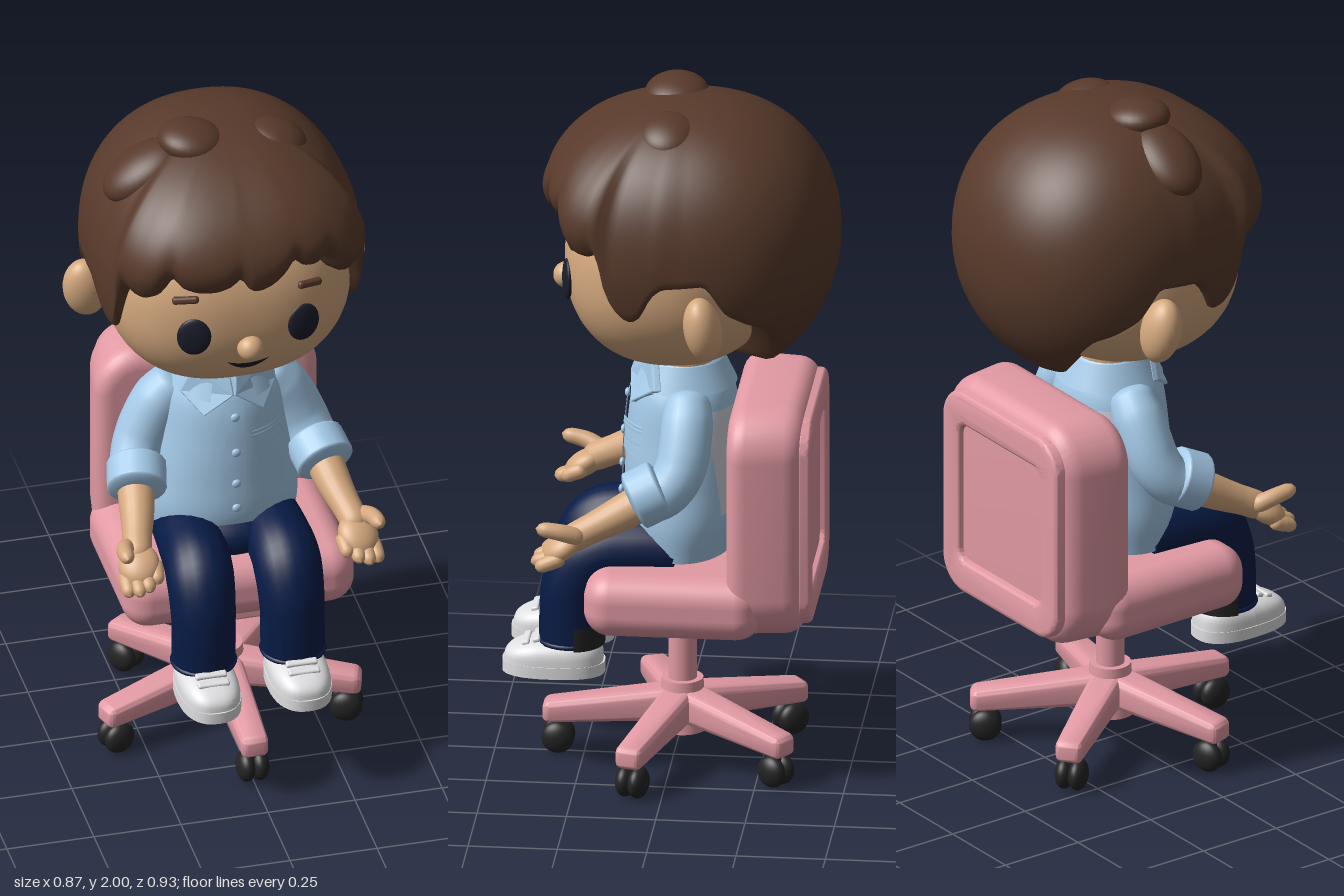
import * as THREE from 'three';
import { toCreasedNormals } from 'three/addons/utils/BufferGeometryUtils.js';
import { RoundedBoxGeometry } from 'three/addons/geometries/RoundedBoxGeometry.js';

const mat = (name, color, side = THREE.FrontSide) => {
  const m = new THREE.MeshStandardMaterial({ color, side });
  m.name = name;
  return m;
};
const V = (x, y, z) => new THREE.Vector3(x, y, z);
const spow = (v, p) => Math.sign(v) * Math.pow(Math.abs(v), p);
const clamp = v => Math.min(1, Math.max(0, v));

// Smooth surface: u wraps around, v runs from top to bottom
function surf(nu, nv, fn) {
  const pos = [], idx = [];
  for (let j = 0; j <= nv; j++)
    for (let i = 0; i < nu; i++) pos.push(...fn(i / nu, j / nv));
  for (let j = 0; j < nv; j++)
    for (let i = 0; i < nu; i++) {
      const a = j * nu + i, b = j * nu + (i + 1) % nu;
      idx.push(a, a + nu, b, b, a + nu, b + nu);
    }
  const g = new THREE.BufferGeometry();
  g.setAttribute('position', new THREE.Float32BufferAttribute(pos, 3));
  g.setIndex(idx);
  g.computeVertexNormals();
  return g;
}

// Limb along a curve with varying radius; cap is the rounded share of each end
function limb(points, radii, cap = 0.15, n = 32) {
  const curve = new THREE.CatmullRomCurve3(points.map(p => V(...p)));
  const { normals, binormals } = curve.computeFrenetFrames(n);
  return surf(20, n, (u, v) => {
    const k = v * (radii.length - 1), i = Math.min(Math.floor(k), radii.length - 2);
    let r = radii[i] + (radii[i + 1] - radii[i]) * (k - i);
    const e = Math.min(v, 1 - v) / cap;
    if (e < 1) r *= Math.sqrt(1 - (1 - e) ** 2);
    const a = u * Math.PI * 2, j = Math.round(v * n);
    return curve.getPointAt(v).addScaledVector(normals[j], r * Math.cos(a))
      .addScaledVector(binormals[j], -r * Math.sin(a)).toArray();
  });
}

// Move the vertices of a geometry by a rule
function bend(g, rule) {
  const p = g.attributes.position;
  for (let i = 0; i < p.count; i++) p.setXYZ(i, ...rule(p.getX(i), p.getY(i), p.getZ(i)));
  g.computeVertexNormals();
  return g;
}

function roundRect(w, h, r, cls = THREE.Shape) {
  const s = new cls(), x = w / 2, y = h / 2;
  s.absarc(x - r, y - r, r, 0, Math.PI / 2);
  s.absarc(r - x, y - r, r, Math.PI / 2, Math.PI);
  s.absarc(r - x, r - y, r, Math.PI, Math.PI * 1.5);
  s.absarc(x - r, r - y, r, Math.PI * 1.5, Math.PI * 2);
  return s;
}

// Head and torso surface rules
const headF = y => Math.pow(Math.max(0, 1 - Math.abs((y - 1.51) / 0.31) ** 2.2), 1 / 2.2);
const headZ = (x, y) => -0.01 + 0.31 * headF(y) * Math.pow(Math.max(0, 1 - Math.abs(x / 0.35 / headF(y)) ** 2.5), 0.4);
const torsoCurve = new THREE.CatmullRomCurve3([[1.2, 0.08, 0.08], [1.16, 0.125, 0.12], [1.1, 0.16, 0.145],
  [0.98, 0.18, 0.16], [0.86, 0.2, 0.165], [0.75, 0.215, 0.165], [0.65, 0.205, 0.14]].map(p => V(...p)));
const torsoRows = torsoCurve.getPoints(60);
const torsoZ = (x, y) => {
  const r = torsoRows.find(p => p.x <= y) || torsoRows[60];
  return -0.03 + r.z * Math.sqrt(Math.max(0, 1 - (x / r.y) ** 2));
};

// Hairline height by angle in degrees (0 is the front)
const sideLine = [[56, 1.62], [59, 1.54], [63, 1.45], [67, 1.42], [72, 1.43], [77, 1.5], [82, 1.535], [100, 1.55],
  [108, 1.46], [118, 1.42], [128, 1.395], [138, 1.32], [148, 1.24], [180, 1.23]];
const hairline = [...sideLine.map(([a, y]) => [-a, y]).reverse(), [-52, 1.6], [-46, 1.595], [-40, 1.62], [-34, 1.69],
  [-31, 1.655], [-24, 1.64], [-16, 1.64], [-9, 1.655], [-5, 1.685], [-2, 1.635], [3, 1.63], [9, 1.645], [15, 1.675],
  [20, 1.715], [23, 1.68], [30, 1.675], [35, 1.7], [38, 1.65], [43, 1.605], [50, 1.595], ...sideLine];
function hairEdge(deg) {
  const d = Math.max(-180, Math.min(180, deg));
  const i = Math.max(1, hairline.findIndex(p => p[0] >= d)), [a, b] = [hairline[i - 1], hairline[i]];
  return a[1] + (b[1] - a[1]) * (d - a[0]) / (b[0] - a[0]);
}
function hairPoint(u, v) {
  const a = (u * 2 - 1) * Math.PI, deg = (u * 2 - 1) * 180;
  const edge = (hairEdge(deg - 1.5) + hairEdge(deg) + hairEdge(deg + 1.5)) / 3;
  const d = (edge - 1.57) / (edge > 1.57 ? 0.4 : 0.42);
  const phi = Math.min(1, v / 0.93) * Math.acos(d > 0 ? d ** 1.1 : d);
  const c = Math.cos(phi), p = c > 0 ? 1 / 1.1 : 1;
  const y = 1.57 + (c > 0 ? 0.4 : 0.42) * spow(c, p);
  const front = clamp(Math.cos(a) * 2), n = 2.25 + 0.4 * front;
  let f = Math.pow(Math.max(0, Math.sin(phi)), p) / Math.pow(Math.abs(Math.sin(a)) ** n + Math.abs(Math.cos(a)) ** n, 1 / n);
  // fringe puffs out, then curls in; the last rows close the underside
  const fringe = front * clamp((edge - 1.5) / 0.1);
  f *= 1 + 0.09 * fringe * Math.sin(Math.PI * v ** 1.6);
  f *= 1 - 0.16 * fringe * clamp((v - 0.75) / 0.25) ** 2.5;
  f *= 1 - (0.2 + 0.3 * clamp((1.45 - edge) / 0.2)) * clamp((v - 0.93) / 0.07);
  return [0.385 * f * Math.sin(a), y, -0.055 + 0.412 * f * Math.cos(a)];
}

export function createModel() {
  const root = new THREE.Group();
  const skin = mat('skin', 0xd5a97f), hair = mat('brown hair', 0x583a2b), shirt = mat('light blue shirt', 0xa4c9e7, THREE.DoubleSide);
  const navy = mat('navy trousers', 0x071b45), white = mat('white shoes', 0xe0e0e2), pink = mat('pink chair', 0xe29aa4);
  const black = mat('black casters', 0x232325), eyeMat = mat('dark eyes', 0x1b1d2b), pale = mat('pale shirt back', 0xd0d3dc);
  const add = (name, g, m, pos = [0, 0, 0], rot = [0, 0, 0], scale = [1, 1, 1], parent = root) => {
    const o = new THREE.Mesh(g, m);
    o.name = name;
    o.position.set(...pos); o.rotation.set(...rot); o.scale.set(...scale);
    parent.add(o);
  };
  const ball = new THREE.SphereGeometry(1, 28, 20);

  // Head, face and hair
  add('head', surf(64, 40, (u, v) => {
    const a = u * Math.PI * 2, s = Math.sin(a), c = Math.cos(a), n = c > 0 ? 2.5 : 2;
    const y = 1.51 + 0.31 * spow(Math.cos(v * Math.PI), 1 / 1.1);
    const f = Math.pow(Math.max(0, Math.sin(v * Math.PI)), 1 / 1.1) / Math.pow(Math.abs(s) ** n + Math.abs(c) ** n, 1 / n);
    return [0.35 * f * s, y, -0.01 + 0.31 * f * c];
  }), skin);
  add('neck', new THREE.CylinderGeometry(0.085, 0.09, 0.16, 24), skin, [0, 1.17, -0.03]);
  add('nose', ball, skin, [0, 1.425, 0.3], [0, 0, 0], [0.037, 0.037, 0.037]);
  const smile = new THREE.Shape();
  smile.moveTo(-0.06, 1.372);
  smile.quadraticCurveTo(0, 1.345, 0.06, 1.372);
  smile.quadraticCurveTo(0, 1.298, -0.06, 1.372);
  add('mouth', bend(new THREE.ShapeGeometry(smile, 16), (x, y) => [x, y, headZ(x, y) + 0.005]), eyeMat);
  for (const s of [1, -1]) {
    add('eye', ball, eyeMat, [s * 0.157, 1.475, headZ(0.157, 1.475)], [0, s * 0.22, 0], [0.048, 0.059, 0.014]);
    add('eyebrow', new RoundedBoxGeometry(0.075, 0.022, 0.022, 3, 0.009), hair,
      [s * 0.178, 1.592, headZ(0.178, 1.592)], [-0.2, s * 0.3, -s * 0.03]);
    add('ear', ball, skin, [s * 0.368, 1.42, -0.118], [0.15, 0, -s * 0.15], [0.064, 0.096, 0.053]);
  }
  add('hair', surf(180, 48, hairPoint), hair);
  add('tuftRight', ball, hair, [-0.235, 1.865, 0], [0, 0, 0.55], [0.125, 0.06, 0.09]);
  add('tuftMiddle', ball, hair, [-0.095, 1.945, 0], [0, 0, -0.12], [0.095, 0.05, 0.09]);
  add('tuftLeft', ball, hair, [0.15, 1.91, 0], [0, 0, -0.33], [0.09, 0.05, 0.085]);

  // Shirt
  add('shirtBody', surf(48, 40, (u, v) => {
    const p = torsoCurve.getPoint(v), a = u * Math.PI * 2;
    return [p.y * Math.sin(a), p.x, -0.03 + p.z * Math.cos(a)];
  }), shirt);
  add('shirtBackPatch', bend(new THREE.PlaneGeometry(0.31, 0.3, 16, 10),
    (x, y) => [-x, y + 0.93, -0.064 - torsoZ(x, y + 0.93)]), pale);
  const onShirt = (name, x, y, w, h, off) => add(name,
    bend(new THREE.PlaneGeometry(w, h, 6, 16), (px, py) => [x + px, y + py, torsoZ(x + px, y + py) + off]), shirt);
  onShirt('placket', 0, 0.95, 0.055, 0.36, 0.008);
  onShirt('pocket', 0.095, 0.985, 0.09, 0.09, 0.008);
  onShirt('pocketFlap', 0.095, 1.02, 0.094, 0.024, 0.013);
  for (const y of [1.08, 0.97, 0.87, 0.79])
    add('button', ball, shirt, [0, y, torsoZ(0, y) + 0.009], [0, 0, 0], [0.013, 0.013, 0.008]);
  add('collarStand', new THREE.CylinderGeometry(0.115, 0.15, 0.075, 40, 1, true, 0.45, Math.PI * 2 - 0.9), shirt, [0, 1.165, -0.028]);
  const flap = new THREE.Shape([[0.01, 0.06], [0.1, 0.075], [0.135, 0.0], [0.085, -0.05], [0.005, 0.01]].map(p => new THREE.Vector2(...p)));
  for (const s of [1, -1]) {
    const g = bend(new THREE.ExtrudeGeometry(flap, { depth: 0.014, bevelEnabled: true, bevelSize: 0.004, bevelThickness: 0.004, bevelSegments: 2 }),
      (x, y, z) => [s * x, y, z - x * x * 4.2 - y * 0.35]);
    add('collarFlap', g, shirt, [0, 1.14, 0.105]);
  }

  // Arms and hands, palms up
  for (const s of [1, -1]) {
    const m = pts => pts.map(([x, y, z]) => [s * x, y, z]);
    add('sleeve', limb(m([[0.11, 1.13, -0.05], [0.18, 1.05, -0.055], [0.235, 0.94, -0.04], [0.258, 0.885, 0.0], [0.272, 0.86, 0.07]]),
      [0.06, 0.073, 0.073, 0.07, 0.07], 0.1), shirt);
    add('cuff', limb(m([[0.252, 0.9, 0.0], [0.274, 0.855, 0.095]]), [0.084, 0.084], 0.16), shirt);
    add('forearm', limb(m([[0.265, 0.87, 0.04], [0.285, 0.815, 0.14], [0.31, 0.765, 0.24], [0.318, 0.74, 0.28]]), [0.055, 0.05, 0.042, 0.04]), skin);
    add('palm', ball, skin, [s * 0.315, 0.738, 0.28], [0.6, s * 0.15, s * -0.2], [0.058, 0.036, 0.064]);
    for (let i = 0; i < 4; i++) {
      const x = 0.268 + i * 0.028, y = 0.738 - i * 0.007, l = [0.34, 0.362, 0.367, 0.352][i];
      add('finger', limb(m([[x, y, 0.27], [x + 0.004, y - 0.016, 0.31], [x + 0.006, y - 0.034, l]]), [0.022, 0.022, 0.018], 0.25, 16), skin);
    }
    add('thumb', limb(m([[0.33, 0.765, 0.22], [0.354, 0.79, 0.275], [0.363, 0.805, 0.35]]), [0.026, 0.024, 0.02], 0.22, 16), skin);
  }

  // Trousers and shoes
  add('hips', ball, navy, [0, 0.67, 0.03], [0, 0, 0], [0.19, 0.085, 0.135]);
  for (const s of [1, -1]) {
    add('trouserLeg', limb([[s * 0.115, 0.665, -0.03], [s * 0.12, 0.665, 0.1], [s * 0.125, 0.645, 0.21], [s * 0.127, 0.56, 0.262], [s * 0.128, 0.375, 0.275]],
      [0.09, 0.094, 0.096, 0.09, 0.09], 0.02, 40), navy);
    add('trouserHem', new THREE.TorusGeometry(0.086, 0.008, 8, 32), navy, [s * 0.128, 0.39, 0.275], [Math.PI / 2, 0, 0]);
    add('calfPatch', new THREE.CylinderGeometry(0.093, 0.093, 0.07, 24, 1, true, Math.PI * 0.55, Math.PI * 0.9), black, [s * 0.128, 0.415, 0.272]);
    const shoe = new THREE.Group();
    shoe.name = 'shoe';
    shoe.position.set(s * 0.13, 0.295, 0.322);
    root.add(shoe);
    const sole = bend(new THREE.CylinderGeometry(1, 1, 0.034, 40), (x, y, z) => [0.087 * spow(x, 0.82), y, 0.144 * spow(z, 0.82)]);
    add('sole', toCreasedNormals(sole, 0.7), white, [0, 0.017, 0], [0, 0, 0], [1, 1, 1], shoe);
    add('upper', bend(new THREE.SphereGeometry(1, 36, 24), (x, y, z) => [0.084 * spow(x, 0.75),
      0.03 + (y > 0 ? (0.072 - 0.016 * z) * y ** 0.6 : 0.01 * y), 0.139 * spow(z, 0.75)]), white, [0, 0, 0], [0, 0, 0], [1, 1, 1], shoe);
    for (const [y, z] of [[0.089, 0.075], [0.099, 0.045]])
      add('laces', new RoundedBoxGeometry(0.09, 0.014, 0.022, 2, 0.006), white, [0, y, z], [0.25, 0, 0], [1, 1, 1], shoe);
  }

  // Chair seat and backrest, narrowing slightly to the rear
  add('seat', new RoundedBoxGeometry(0.665, 0.185, 0.5, 6, 0.075), pink, [0, 0.548, -0.025]);
  const soft = (shape, depth, b, rule) => toCreasedNormals(bend(new THREE.ExtrudeGeometry(shape,
    { depth, bevelEnabled: true, bevelSize: b, bevelThickness: b, bevelSegments: 6, curveSegments: 10 }), rule), 0.7);
  add('backrest', soft(roundRect(0.55, 0.565, 0.08), 0.105, 0.055,
    (x, y, z) => [x * (1 - 0.12 * (0.16 - z) / 0.215), y, z]), pink, [0, 0.792, -0.335]);
  const rim = roundRect(0.51, 0.58, 0.08);
  rim.holes.push(roundRect(0.42, 0.45, 0.05, THREE.Path));
  add('backrestRim', soft(rim, 0.01, 0.018, (x, y, z) => [x, y, z]), pink, [0, 0.792, -0.392]);
  add('seatPlate', new RoundedBoxGeometry(0.3, 0.03, 0.34, 2, 0.008), pink, [0, 0.45, -0.02]);
  add('seatMechanism', new RoundedBoxGeometry(0.22, 0.035, 0.33, 2, 0.01), pink, [0, 0.425, -0.025]);

  // Column, star base and casters
  const base = new THREE.Group();
  base.name = 'chairBase';
  base.position.set(0, 0, -0.025);
  root.add(base);
  add('column', new THREE.CylinderGeometry(0.04, 0.04, 0.3, 28), pink, [0, 0.3, 0], [0, 0, 0], [1, 1, 1], base);
  add('hub', new THREE.CylinderGeometry(0.058, 0.07, 0.15, 28), pink, [0, 0.16, 0], [0, 0, 0], [1, 1, 1], base);
  for (let i = 0; i < 5; i++) {
    const spoke = new THREE.Group();
    spoke.name = 'spoke';
    spoke.rotation.y = i * Math.PI * 2 / 5;
    base.add(spoke);
    const arm = bend(new RoundedBoxGeometry(0.09, 0.07, 0.36, 4, 0.02), (x, y, z) => {
      const t = z / 0.36 + 0.5;
      return [x * (1.1 - 0.25 * t), y * (1.4 - 0.5 * t) + 0.04 * (1 - t), z];
    });
    add('spokeArm', toCreasedNormals(arm, 0.7), pink, [0, 0.122, 0.21], [0, 0, 0], [1, 1, 1], spoke);
    add('casterStem', new THREE.CylinderGeometry(0.018, 0.018, 0.06, 12), black, [0, 0.075, 0.348], [0, 0, 0], [1, 1, 1], spoke);
    for (const s of [1, -1])
      add('casterWheel', ball, black, [s * 0.019, 0.046, 0.348], [0, 0, 0], [0.028, 0.046, 0.046], spoke);
  }
  return root;
}
